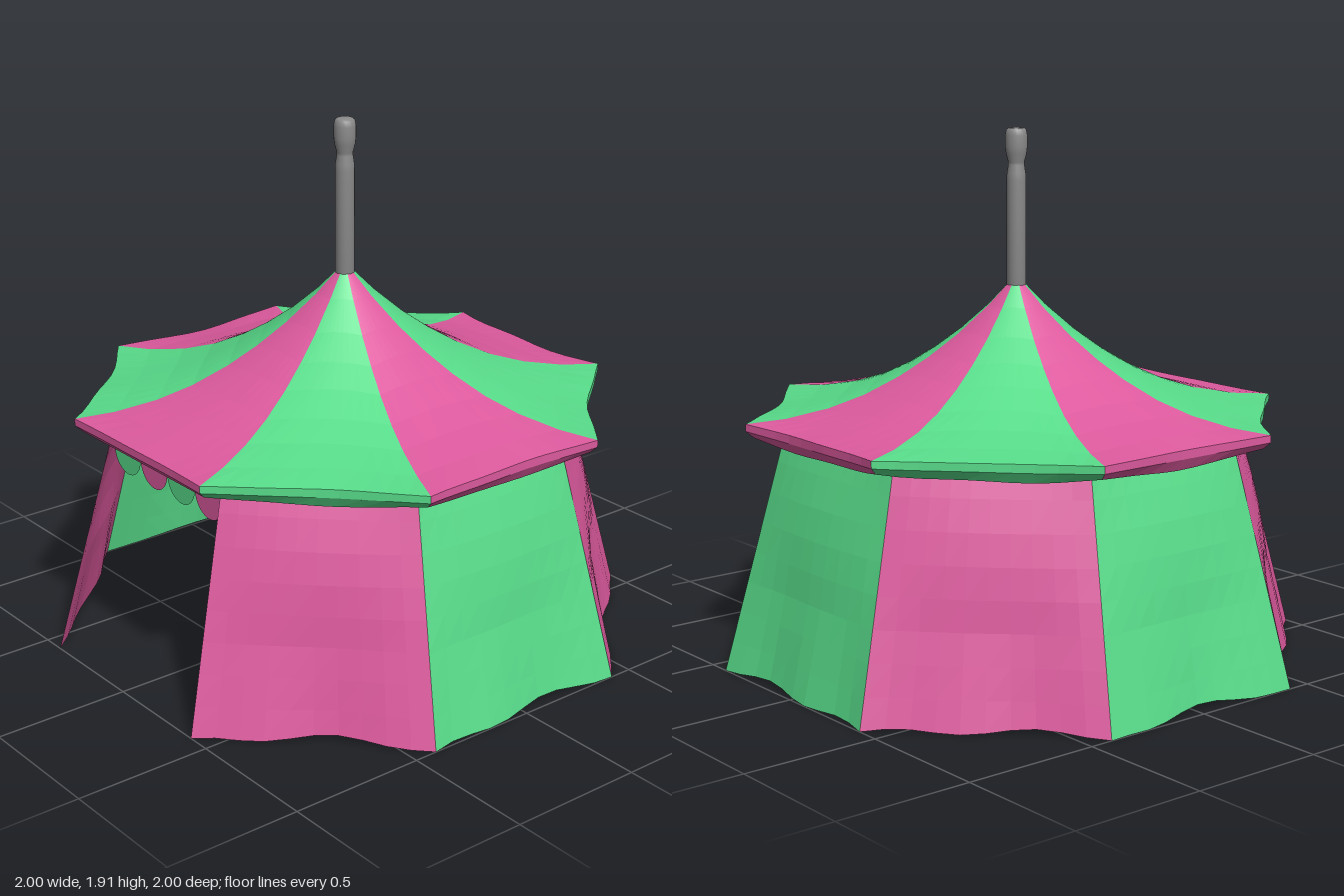
import * as THREE from 'three';

const SIDES = 8;
const OPEN_SIDE = 6; // the -x side is the entrance
const TAN = Math.tan(Math.PI / SIDES);

function material(name, color, flat) {
  const m = new THREE.MeshStandardMaterial({ color, flatShading: flat, side: THREE.DoubleSide });
  m.name = name;
  return m;
}

// One cloth panel facing +z. profile: [distance from axis, height] from top to bottom.
// sway(u, v) gives [outward, up] offsets, faded to zero at the two seams.
function clothPanel(profile, sway, columns = 10) {
  const positions = [], index = [];
  const rows = profile.length - 1;
  profile.forEach(([a, y], j) => {
    for (let i = 0; i <= columns; i++) {
      const u = (i / columns) * 2 - 1;
      const fade = 1 - u * u;
      const [out, up] = sway(u, j / rows, a, y);
      positions.push(u * a * TAN, y + up * fade, a + out * fade);
    }
  });
  for (let j = 0; j < rows; j++) {
    for (let i = 0; i < columns; i++) {
      const a = j * (columns + 1) + i, b = a + 1, c = a + columns + 1, d = c + 1;
      index.push(a, c, b, b, c, d);
    }
  }
  const g = new THREE.BufferGeometry();
  g.setAttribute('position', new THREE.Float32BufferAttribute(positions, 3));
  g.setIndex(index);
  g.computeVertexNormals();
  return g;
}

// Hanging flap with a rounded lower end
function scallop(width, length) {
  const r = width / 2;
  const s = new THREE.Shape();
  s.moveTo(-r, 0);
  s.lineTo(-r, r - length);
  s.absarc(0, r - length, r, Math.PI, Math.PI * 2, false);
  s.lineTo(r, 0);
  return new THREE.ShapeGeometry(s, 8);
}

export function createModel() {
  const tent = new THREE.Group();
  tent.name = 'tent';
  const green = material('green cloth', 0x58dc8a, true);
  const pink = material('pink cloth', 0xdd5a9e, true);
  const grey = material('grey pole', 0x8a8a8a, false);

  const add = (parent, name, geometry, mat) => {
    const mesh = new THREE.Mesh(geometry, mat);
    mesh.name = name;
    parent.add(mesh);
    return mesh;
  };

  // Roof slope, then the eave band, its underside and the inner lip
  const roofProfile = [
    [0.03, 1.35], [0.1, 1.272], [0.2, 1.178], [0.3, 1.1], [0.4, 1.035], [0.52, 0.974],
    [0.64, 0.932], [0.78, 0.903], [0.915, 0.892],
    [0.915, 0.866], [0.89, 0.842], [0.78, 0.846], [0.775, 0.875],
  ];
  // Walls lean inward towards the top
  const wallProfile = [];
  for (let j = 0; j <= 8; j++) {
    const y = 0.86 * (1 - j / 8);
    wallProfile.push([1 - 0.25 * y, y]);
  }

  for (let k = 0; k < SIDES; k++) {
    const side = new THREE.Group();
    side.name = 'side' + (k + 1);
    side.rotation.y = (k * Math.PI * 2) / SIDES;
    tent.add(side);
    const even = k % 2 === 0;
    const phase = k * 1.9;
    const slack = k === OPEN_SIDE ? 0.3 : 1;

    // Roof panel: puffed on the slope, pulled in and sagging at the eave
    const roofSway = (u, v, a, y) => {
      const wave = 1 + 0.3 * Math.sin(u * 4 + phase);
      if (y > 0.893) {
        const puff = Math.sin(Math.PI * Math.min(1, a / 0.9));
        return [-0.03 * slack * wave * Math.pow(a / 0.915, 4), 0.014 * puff];
      }
      if (a < 0.8) return [0, -0.018 * slack];
      const sag = y > 0.87 ? -0.006 : y > 0.85 ? -0.01 : -0.024;
      return [-0.03 * slack * wave, sag * slack * wave];
    };
    add(side, 'roofPanel', clothPanel(roofProfile, roofSway), even ? pink : green);

    if (k === OPEN_SIDE) {
      // Valance over the entrance
      const width = 0.164;
      const flap = scallop(width, 0.17);
      for (let i = 0; i < 4; i++) {
        const mesh = add(side, 'entranceScallop', flap, i % 2 ? pink : green);
        mesh.position.set((i - 1.5) * width, 0.86, 0.785);
      }
    } else {
      // Wall panel: fuller near the top, rippled at the hem
      const wallSway = (u, v) => {
        const ripple = Math.sin(u * 4.5 + phase);
        const hem = v * v * v;
        const bulge = 0.02 * Math.sin(Math.PI * Math.min(1, v * 1.6));
        const lift = v === 1 ? 0.012 * (1 + ripple) : 0;
        return [bulge - hem * (0.018 + 0.016 * ripple), lift];
      };
      add(side, 'wallPanel', clothPanel(wallProfile, wallSway), even ? green : pink);
    }
  }

  // Centre pole with a rounded knob
  const poleProfile = [
    [0, 1.335], [0.035, 1.335], [0.035, 1.72], [0.034, 1.745], [0.029, 1.775], [0.029, 1.785],
    [0.037, 1.815], [0.04, 1.84], [0.04, 1.88], [0.036, 1.9], [0.028, 1.906], [0, 1.908],
  ].map(([x, y]) => new THREE.Vector2(x, y));
  add(tent, 'pole', new THREE.LatheGeometry(poleProfile, 20), grey);

  return tent;
}
